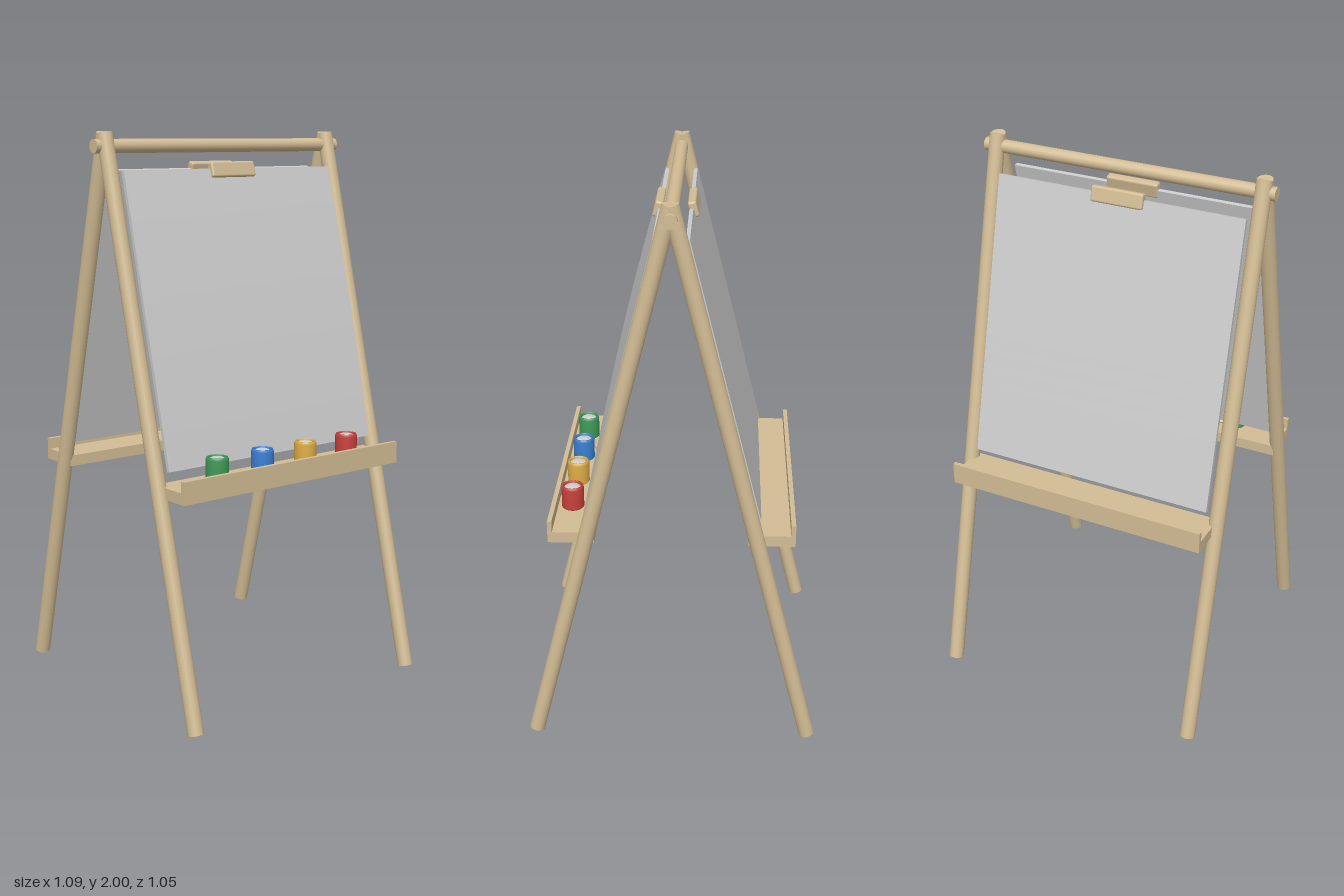
import * as THREE from 'three';
import { RoundedBoxGeometry } from 'three/addons/geometries/RoundedBoxGeometry.js';

const TILT = Math.atan(0.25);
const wood = new THREE.MeshStandardMaterial({ color: 0xd2bc94 });
const grey = new THREE.MeshStandardMaterial({ color: 0xcccccc });
const sheetGrey = new THREE.MeshStandardMaterial({ color: 0xcccccc, side: THREE.DoubleSide });
const white = new THREE.MeshStandardMaterial({ color: 0xf2f2f0 });

function add(parent, name, geometry, material, x = 0, y = 0, z = 0) {
  const mesh = new THREE.Mesh(geometry, material);
  mesh.name = name;
  mesh.position.set(x, y, z);
  parent.add(mesh);
  return mesh;
}

// Round rod between two points
function rod(parent, name, a, b, radius, material) {
  const from = new THREE.Vector3(...a), to = new THREE.Vector3(...b);
  const dir = to.clone().sub(from);
  const mesh = add(parent, name, new THREE.CylinderGeometry(radius, radius, dir.length(), 20), material);
  mesh.position.copy(from).add(to).multiplyScalar(0.5);
  mesh.quaternion.setFromUnitVectors(new THREE.Vector3(0, 1, 0), dir.normalize());
  return mesh;
}

// One leaning half of the easel, facing +z
function createSide(name, bow) {
  const side = new THREE.Group();
  side.name = name;

  for (const x of [-0.5, 0.5]) {
    rod(side, 'leg', [x, 0.007, 0.497], [x, 1.993, 0], 0.028, wood);
  }

  // Leaning panel, its sheet and the clip that holds it
  const panel = new THREE.Group();
  panel.name = 'leaningPanel';
  panel.position.set(0, 1.37, 0.178);
  panel.rotation.x = -TILT;
  side.add(panel);
  add(panel, 'board', new THREE.BoxGeometry(0.93, 1.028, 0.014), grey);
  const sheet = new THREE.PlaneGeometry(0.925, 1.02, 1, 16);
  const p = sheet.attributes.position;
  for (let i = 0; i < p.count; i++) {
    p.setZ(i, 0.009 + bow * Math.cos(Math.PI * p.getY(i) / 1.02));
  }
  sheet.computeVertexNormals();
  add(panel, 'paper', sheet, sheetGrey);
  add(panel, 'clip', new RoundedBoxGeometry(0.196, 0.056, 0.03, 3, 0.008), wood, 0, 0.509, 0.006);

  // Tray with a raised outer lip
  const profile = new THREE.Shape();
  [[0.268, 0.787], [0.43, 0.787], [0.43, 0.867], [0.414, 0.867], [0.414, 0.827], [0.268, 0.827]]
    .forEach(([z, y], i) => (i ? profile.lineTo(-z, y) : profile.moveTo(-z, y)));
  const tray = new THREE.ExtrudeGeometry(profile, { depth: 0.988, bevelEnabled: false });
  tray.translate(0, 0, -0.494);
  tray.rotateY(Math.PI / 2);
  add(side, 'tray', tray, wood);
  return side;
}

// Paint pot with a rounded rim and a low white cap
function createPot(color, x) {
  const pot = new THREE.Group();
  pot.name = 'paintPot';
  pot.position.set(x, 0.827, 0.36);
  const wall = [[0, 0], [0.036, 0], [0.04, 0.004], [0.04, 0.078], [0.037, 0.086], [0.033, 0.087], [0.031, 0.08], [0.031, 0.07]]
    .map(([r, y]) => new THREE.Vector2(r, y));
  add(pot, 'potWall', new THREE.LatheGeometry(wall, 28),
    new THREE.MeshStandardMaterial({ color, side: THREE.DoubleSide }));
  const cap = new THREE.SphereGeometry(0.032, 28, 8, 0, Math.PI * 2, 0, Math.PI / 2);
  cap.scale(1, 0.45, 1);
  add(pot, 'paintCap', cap, white, 0, 0.073, 0);
  return pot;
}

export function createModel() {
  const model = new THREE.Group();
  model.name = 'easel';

  const front = createSide('frontSide', 0.01);
  const back = createSide('backSide', 0);
  back.rotation.y = Math.PI;
  model.add(front, back);

  // Hinge bar across the top
  rod(model, 'topBar', [-0.545, 1.95, 0], [0.545, 1.95, 0], 0.024, wood);

  // Pots and brush on the front tray
  [0x3f9a58, 0x3a80d2, 0xdfae45, 0xc9413c].forEach((color, i) => {
    model.add(createPot(color, -0.3 + i * 0.2));
  });
  rod(model, 'brush', [-0.412, 0.834, 0.396], [-0.165, 0.834, 0.314], 0.007, wood);
  return model;
}
